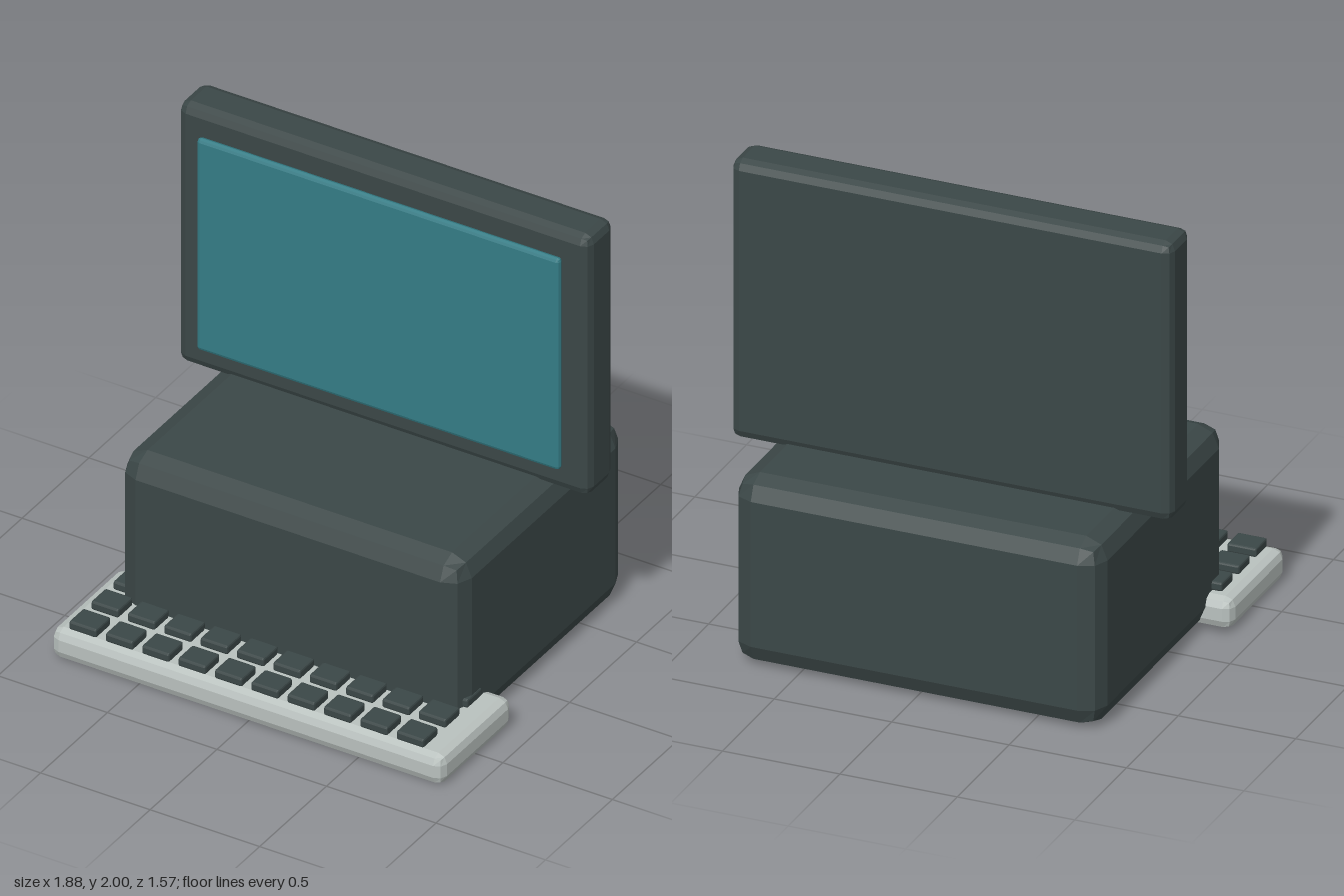
import * as THREE from 'three';
import { RoundedBoxGeometry } from 'three/addons/geometries/RoundedBoxGeometry.js';

// Faceted bevelled box given by its extents on each axis
function bevelBox(name, [x0, x1], [y0, y1], [z0, z1], bevel, material) {
  const geometry = new RoundedBoxGeometry(x1 - x0, y1 - y0, z1 - z0, 1, bevel);
  geometry.computeVertexNormals(); // non-indexed, so every facet is flat
  const mesh = new THREE.Mesh(geometry, material);
  mesh.name = name;
  mesh.position.set((x0 + x1) / 2, (y0 + y1) / 2, (z0 + z1) / 2);
  return mesh;
}

function flatMaterial(name, color) {
  const material = new THREE.MeshStandardMaterial({ color });
  material.name = name;
  return material;
}

export function createModel() {
  const dark = flatMaterial('dark slate', 0x3b4747);
  const pale = flatMaterial('pale grey', 0xb9c1be);
  const teal = flatMaterial('teal glass', 0x347c85);

  const model = new THREE.Group();
  model.name = 'desktopComputer';

  // Main case, monitor frame and the glass floating just in front of it
  model.add(
    bevelBox('case', [-0.785, 0.785], [0, 0.81], [-0.785, 0.47], 0.09, dark),
    bevelBox('monitorFrame', [-0.94, 0.94], [0.79, 2], [-0.435, -0.24], 0.04, dark),
    bevelBox('screen', [-0.828, 0.828], [0.905, 1.89], [-0.233, -0.2], 0.015, teal),
    bevelBox('keyboardBase', [-0.895, 0.895], [0, 0.135], [0.25, 0.785], 0.04, pale)
  );

  // Three rows of ten keys
  const keys = new THREE.Group();
  keys.name = 'keys';
  for (let row = 0; row < 3; row++) {
    for (let col = 0; col < 10; col++) {
      const x = -0.766 + col * 0.166;
      const z = 0.366 + row * 0.165;
      keys.add(bevelBox('key', [x - 0.0625, x + 0.0625], [0.135, 0.174], [z - 0.055, z + 0.055], 0.008, dark));
    }
  }
  model.add(keys);
  return model;
}
